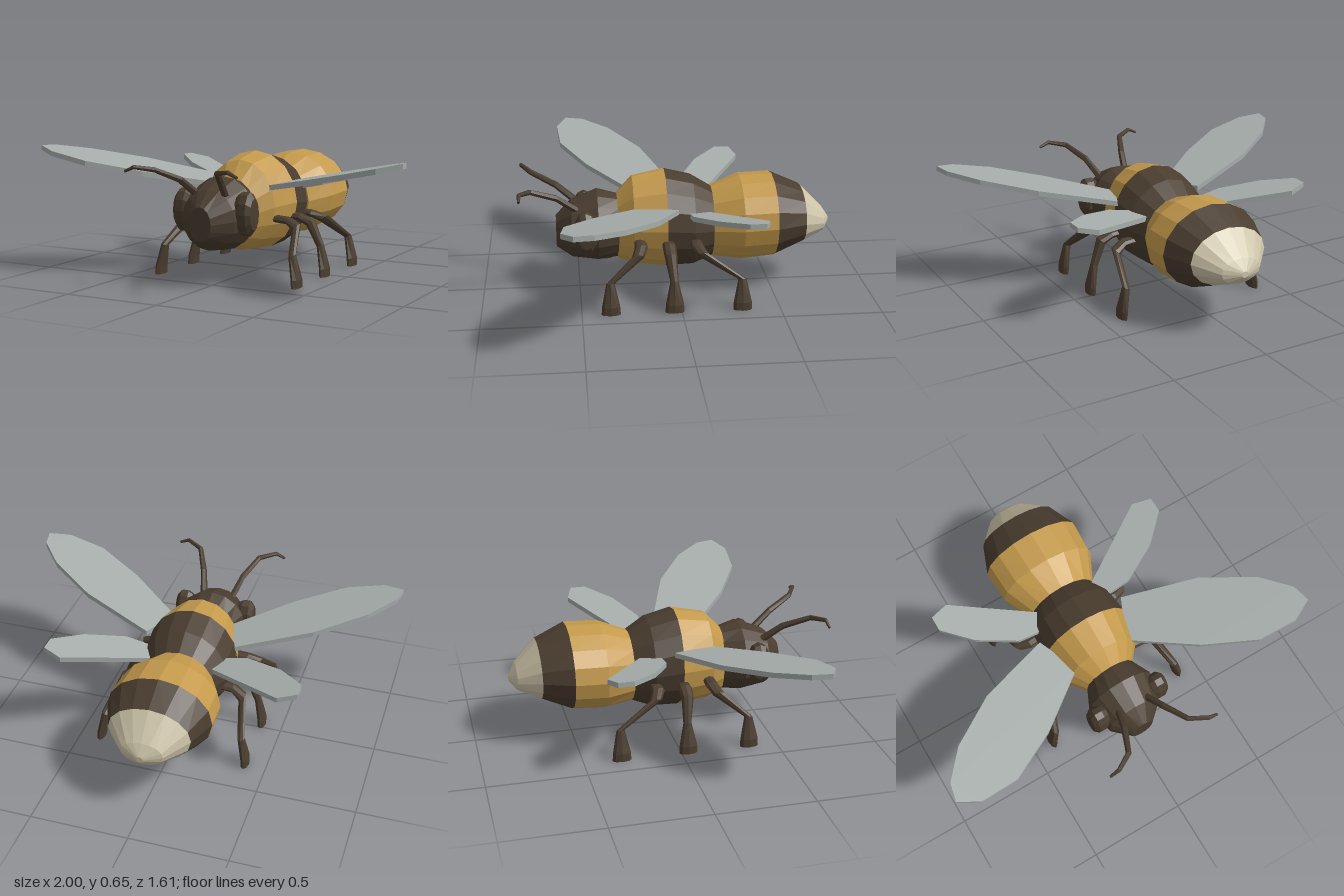
import * as THREE from 'three';

const V = (x, y, z) => new THREE.Vector3(x, y, z);
const mat = (color) => new THREE.MeshStandardMaterial({ color, flatShading: true });
const DARK = mat(0x4a3d2f), GOLD = mat(0xc49a4c), CREAM = mat(0xcdc4a9), WING = mat(0xa6adaa);

// Closed skin over elliptical rings; each ring is { c: centre, u, v: half axes }.
function loft(rings, n) {
  const pos = [], idx = [];
  for (const { c, u, v } of rings) {
    for (let i = 0; i < n; i++) {
      const a = (i / n) * Math.PI * 2;
      const p = c.clone().addScaledVector(u, Math.cos(a)).addScaledVector(v, Math.sin(a));
      pos.push(p.x, p.y, p.z);
    }
  }
  const last = rings.length - 1;
  const along = rings[1].c.clone().sub(rings[0].c);
  const flip = rings[0].u.clone().cross(rings[0].v).dot(along) < 0;
  const tri = (a, b, c) => (flip ? idx.push(a, c, b) : idx.push(a, b, c));
  for (let r = 0; r < last; r++) {
    for (let i = 0; i < n; i++) {
      const j = (i + 1) % n, a = r * n, b = a + n;
      tri(a + i, a + j, b + j);
      tri(a + i, b + j, b + i);
    }
  }
  for (let i = 1; i < n - 1; i++) {
    tri(0, i + 1, i);
    tri(last * n, last * n + i, last * n + i + 1);
  }
  const g = new THREE.BufferGeometry();
  g.setAttribute('position', new THREE.Float32BufferAttribute(pos, 3));
  g.setIndex(idx);
  const flat = g.toNonIndexed();
  flat.computeVertexNormals();
  return flat;
}

function add(parent, name, geometry, material) {
  const m = new THREE.Mesh(geometry, material);
  m.name = name;
  parent.add(m);
  return m;
}

// Body band from rows of [z, half width, bottom, top]
const band = (rows) => loft(rows.map(([z, w, lo, hi]) => ({
  c: V(0, (lo + hi) / 2, z), u: V(w, 0, 0), v: V(0, (hi - lo) / 2, 0),
})), 16);

// Thin plate from an outline of [x, z], sloping up away from the body
function wing(outline, s, y0, slope) {
  const shape = new THREE.Shape(outline.map(([x, z]) => new THREE.Vector2(x * s, -z)));
  const g = new THREE.ExtrudeGeometry(shape, { depth: 0.026, bevelEnabled: false });
  g.rotateX(-Math.PI / 2);
  const p = g.attributes.position;
  for (let i = 0; i < p.count; i++) p.setY(i, p.getY(i) + y0 + slope * Math.abs(p.getX(i)));
  g.computeVertexNormals();
  return g;
}

// Leg: level thigh, slanting shin, flared foot
function leg(s, hipZ, ankleZ) {
  const kneeZ = hipZ + (ankleZ - hipZ) * 0.12;
  return loft([
    { c: V(0.17 * s, 0.305, hipZ), u: V(0, 0, 0.03), v: V(0, 0.02, 0) },
    { c: V(0.26 * s, 0.298, hipZ), u: V(0, 0, 0.034), v: V(0.003 * s, 0.02, 0) },
    { c: V(0.315 * s, 0.272, kneeZ), u: V(0, 0, 0.032), v: V(0.02 * s, 0.018, 0) },
    { c: V(0.364 * s, 0.155, ankleZ), u: V(0, 0, 0.021), v: V(0.019 * s, 0.006, 0) },
    { c: V(0.388 * s, 0.04, ankleZ), u: V(0, 0, 0.046), v: V(0.022 * s, 0.002, 0) },
    { c: V(0.39 * s, 0, ankleZ), u: V(0, 0, 0.048), v: V(0.021 * s, 0, 0) },
  ], 8);
}

// Antenna: tapering tube along a bent path
function antenna(s) {
  const pts = [[0.08, 0.45, 0.51], [0.112, 0.527, 0.61], [0.17, 0.583, 0.74],
    [0.255, 0.597, 0.79], [0.305, 0.575, 0.792]].map(([x, y, z]) => V(x * s, y, z));
  const radii = [0.019, 0.017, 0.014, 0.011, 0.007];
  return loft(pts.map((c, i) => {
    const t = pts[Math.min(i + 1, 4)].clone().sub(pts[Math.max(i - 1, 0)]).normalize();
    const u = V(0, 1, 0).cross(t).normalize();
    const v = t.clone().cross(u);
    return { c, u: u.multiplyScalar(radii[i]), v: v.multiplyScalar(radii[i]) };
  }), 6);
}

// Eye: bevelled oval button on the side of the head
const eye = (s) => loft([[0.13, 0.85], [0.155, 1], [0.195, 1], [0.217, 0.72], [0.22, 0.3]].map(([x, k]) => ({
  c: V(x * s, 0.36, 0.465), u: V(0, 0.108 * k, 0), v: V(0, 0, 0.062 * k),
})), 12);

export function createModel() {
  const bee = new THREE.Group();
  bee.name = 'bee';

  // Striped body, front to back
  add(bee, 'head', band([[0.615, 0.06, 0.23, 0.4], [0.535, 0.148, 0.178, 0.478],
    [0.4, 0.185, 0.16, 0.53], [0.295, 0.135, 0.168, 0.505]]), DARK);
  add(bee, 'thoraxFront', band([[0.3, 0.13, 0.16, 0.51], [0.22, 0.2, 0.132, 0.595],
    [0.053, 0.24, 0.115, 0.628]]), GOLD);
  add(bee, 'thoraxBack', band([[0.053, 0.24, 0.115, 0.628], [-0.09, 0.228, 0.12, 0.592],
    [-0.19, 0.18, 0.16, 0.53]]), DARK);
  add(bee, 'abdomenFront', band([[-0.19, 0.188, 0.158, 0.53], [-0.338, 0.262, 0.145, 0.585],
    [-0.508, 0.27, 0.16, 0.59]]), GOLD);
  add(bee, 'abdomenBack', band([[-0.508, 0.27, 0.16, 0.59], [-0.662, 0.21, 0.228, 0.52]]), DARK);
  add(bee, 'tailTip', band([[-0.662, 0.21, 0.228, 0.52], [-0.775, 0.108, 0.277, 0.405],
    [-0.812, 0.018, 0.318, 0.35]]), CREAM);

  const foreWing = [[0.15, 0.21], [0.24, 0], [0.615, 0.134], [0.86, 0.3], [0.98, 0.445],
    [1, 0.54], [0.893, 0.594], [0.695, 0.578], [0.444, 0.44]];
  const hindWing = [[0.15, -0.06], [0.15, -0.155], [0.556, -0.406], [0.652, -0.374],
    [0.652, -0.294], [0.52, -0.166], [0.326, -0.064]];

  // Paired parts
  for (const [side, s] of [['left', 1], ['right', -1]]) {
    add(bee, side + 'Eye', eye(s), DARK);
    add(bee, side + 'Antenna', antenna(s), DARK);
    add(bee, side + 'ForeWing', wing(foreWing, s, 0.412, 0.213), WING);
    add(bee, side + 'HindWing', wing(hindWing, s, 0.385, 0.213), WING);
    add(bee, side + 'FrontLeg', leg(s, 0.192, 0.355), DARK);
    add(bee, side + 'MiddleLeg', leg(s, 0.05, 0.035), DARK);
    add(bee, side + 'HindLeg', leg(s, -0.09, -0.308), DARK);
  }
  return bee;
}
